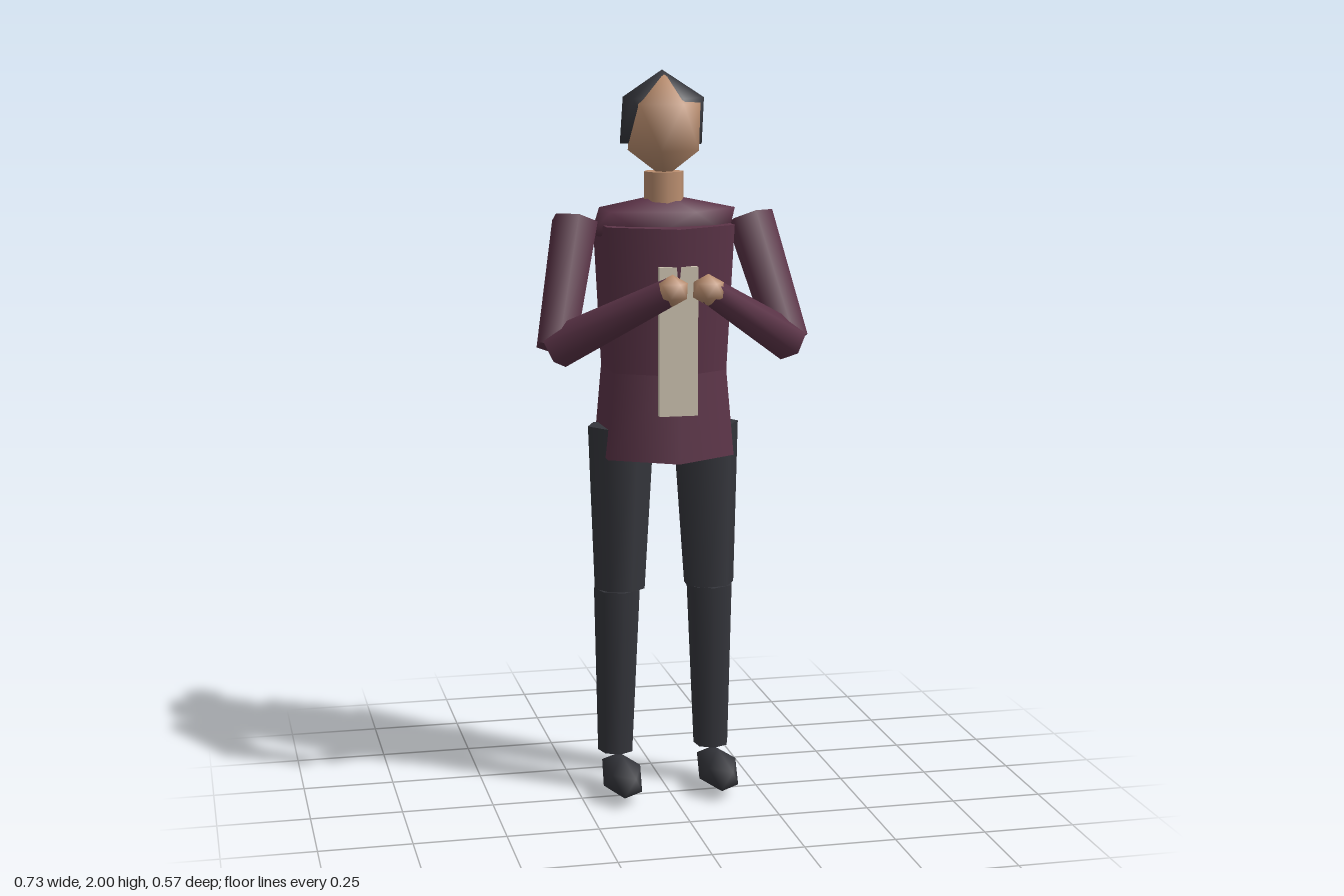
import * as THREE from 'three';
import { mergeVertices } from 'three/addons/utils/BufferGeometryUtils.js';

const V = (x, y, z) => new THREE.Vector3(x, y, z);

function material(name, color) {
  const m = new THREE.MeshStandardMaterial({ color });
  m.name = name;
  return m;
}

export function createModel() {
  const cloth = material('plum cloth', 0x5c3448);
  const dark = material('charcoal', 0x35363c);
  const skin = material('skin', 0xbc8f70);
  const cream = material('cream', 0xcdc3b0);

  const model = new THREE.Group();
  model.name = 'standingFigure';

  function add(name, geometry, mat, position) {
    const mesh = new THREE.Mesh(geometry, mat);
    mesh.name = name;
    if (position) mesh.position.copy(position);
    model.add(mesh);
    return mesh;
  }

  // Smooth 20-faced ball with its poles up and down; flatBase lifts the lower pole
  function ball(name, mat, center, rx, ry, rz, flatBase = false) {
    let g = new THREE.IcosahedronGeometry(1, 0);
    g.rotateX(-Math.atan2((1 + Math.sqrt(5)) / 2, 1));
    g.rotateY(Math.PI / 2);
    g.deleteAttribute('uv');
    g.deleteAttribute('normal');
    g = mergeVertices(g, 1e-3);
    const p = g.attributes.position;
    if (flatBase) {
      for (let i = 0; i < p.count; i++) if (p.getY(i) < -0.9) p.setY(i, -0.45);
    }
    g.scale(rx, ry, rz);
    g.computeVertexNormals();
    return add(name, g, mat, center);
  }

  // Tapered prism from a to b
  function limb(name, mat, a, b, ra, rb, sides) {
    const axis = b.clone().sub(a);
    const g = new THREE.CylinderGeometry(rb, ra, axis.length(), sides);
    const mesh = add(name, g, mat, a.clone().add(b).multiplyScalar(0.5));
    mesh.quaternion.setFromUnitVectors(V(0, 1, 0), axis.normalize());
    return mesh;
  }

  // Torso, tunic skirt and shoulders
  limb('chest', cloth, V(0, 1.195, -0.082), V(0, 1.59, -0.082), 0.18, 0.202, 6);
  limb('tunicSkirt', cloth, V(0, 0.96, -0.082), V(0, 1.195, -0.082), 0.202, 0.18, 6);
  ball('shoulderYoke', cloth, V(0, 1.595, -0.08), 0.224, 0.075, 0.147);

  // Front panel
  add('frontPanel', new THREE.BoxGeometry(0.105, 0.4, 0.022), cream, V(0, 1.29, 0.1));

  // Head, hair and bun
  limb('neck', skin, V(0, 1.59, -0.074), V(0, 1.73, -0.074), 0.055, 0.055, 8);
  ball('head', skin, V(0, 1.85, -0.068), 0.112, 0.138, 0.123);
  ball('hair', dark, V(0, 1.865, -0.095), 0.13, 0.135, 0.128, true);
  ball('hairBun', dark, V(0, 1.916, -0.215), 0.057, 0.055, 0.055);

  for (const [side, s] of [['left', 1], ['right', -1]]) {
    // Bent arm with the hand held in front of the chest
    const shoulder = V(s * 0.243, 1.6, -0.082);
    const elbow = V(s * 0.32, 1.275, 0.045);
    const hand = V(s * 0.048, 1.445, 0.242);
    limb(side + 'UpperArm', cloth, shoulder, elbow, 0.066, 0.056, 6);
    limb(side + 'Forearm', cloth, elbow, hand, 0.056, 0.036, 6);
    ball(side + 'Hand', skin, hand, 0.046, 0.042, 0.046);

    // Leg and shoe
    const knee = V(s * 0.127, 0.58, -0.073);
    limb(side + 'Thigh', dark, V(s * 0.119, 1.035, -0.087), knee, 0.093, 0.071, 7);
    limb(side + 'Shin', dark, V(s * 0.132, 0.58, -0.071), V(s * 0.138, 0.11, -0.078), 0.066, 0.05, 7);
    ball(side + 'Shoe', dark, V(s * 0.137, 0.059, 0.002), 0.058, 0.059, 0.138);
  }

  return model;
}
